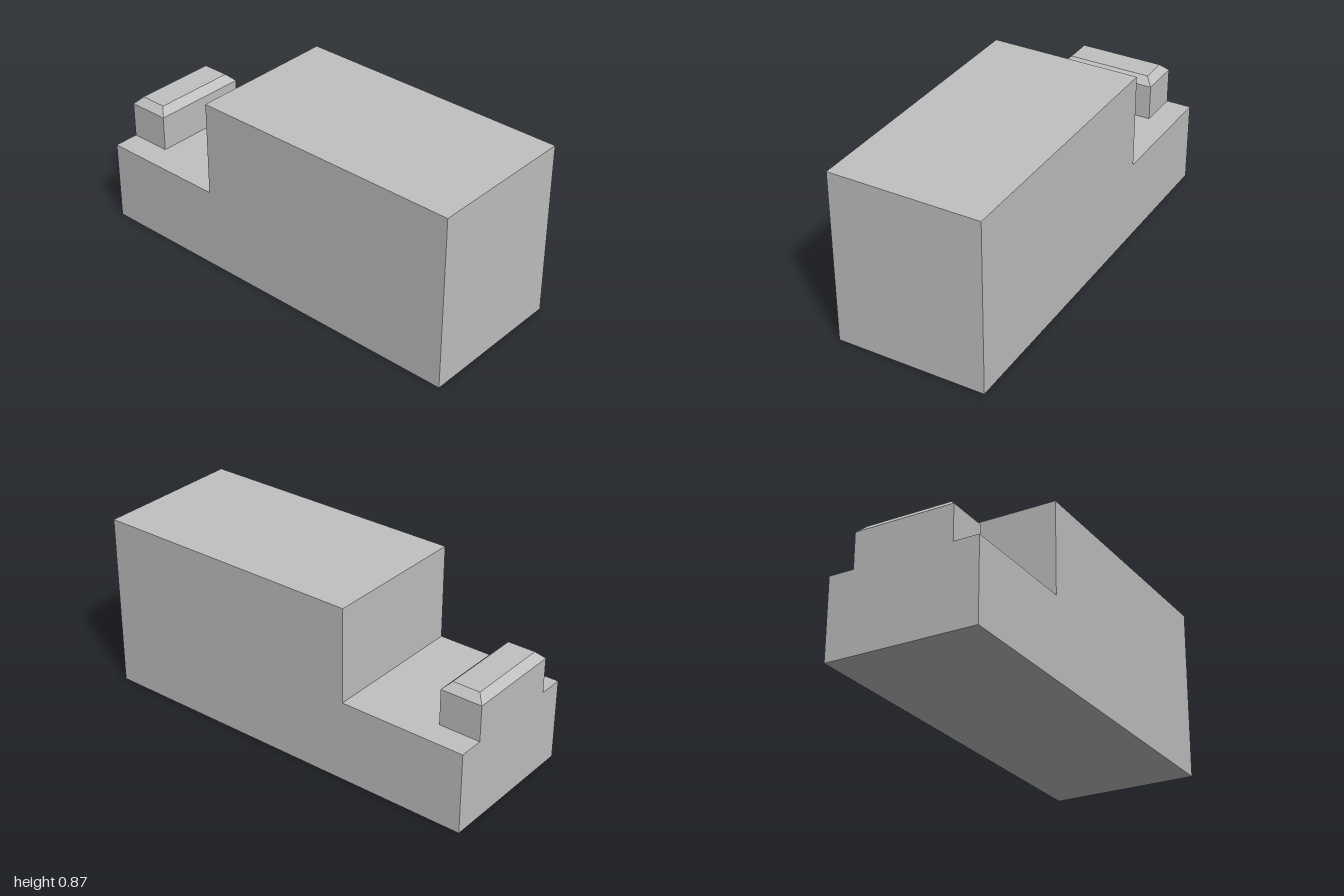
import * as THREE from 'three';

export function createModel() {
  const model = new THREE.Group();
  const grey = new THREE.MeshStandardMaterial({ color: 0xc0c0c0 });
  grey.name = 'light grey';

  const add = (name, geometry, x, y, z) => {
    const mesh = new THREE.Mesh(geometry, grey);
    mesh.name = name;
    mesh.position.set(x, y, z);
    model.add(mesh);
  };

  // Stepped body: side profile in (z, y), extruded across the width
  const width = 0.744;
  const profile = new THREE.Shape([
    [-1, 0], [1, 0], [1, 0.872], [-0.365, 0.872], [-0.365, 0.403], [-1, 0.403],
  ].map(([z, y]) => new THREE.Vector2(z, y)));
  const body = new THREE.ExtrudeGeometry(profile, { depth: width, bevelEnabled: false });
  body.translate(0, 0, -width / 2).rotateY(-Math.PI / 2);
  add('steppedBody', body, 0, 0, 0);

  // Raised block with a chamfered top, flush with the back of the low deck
  const w = 0.494, d = 0.208, bottom = 0.403, shoulder = 0.58, top = 0.616, inset = 0.036;
  const block = new THREE.BoxGeometry(w, top - bottom, d, 1, 2, 1);
  const p = block.attributes.position;
  for (let i = 0; i < p.count; i++) {
    const row = Math.sign(Math.round(p.getY(i) * 1000));
    p.setY(i, [bottom, shoulder, top][row + 1]);
    if (row > 0) {
      p.setX(i, p.getX(i) - Math.sign(p.getX(i)) * inset);
      p.setZ(i, p.getZ(i) - Math.sign(p.getZ(i)) * inset);
    }
  }
  const faceted = block.toNonIndexed();
  faceted.computeVertexNormals();
  add('chamferedBlock', faceted, 0, 0, -1 + d / 2);

  return model;
}
